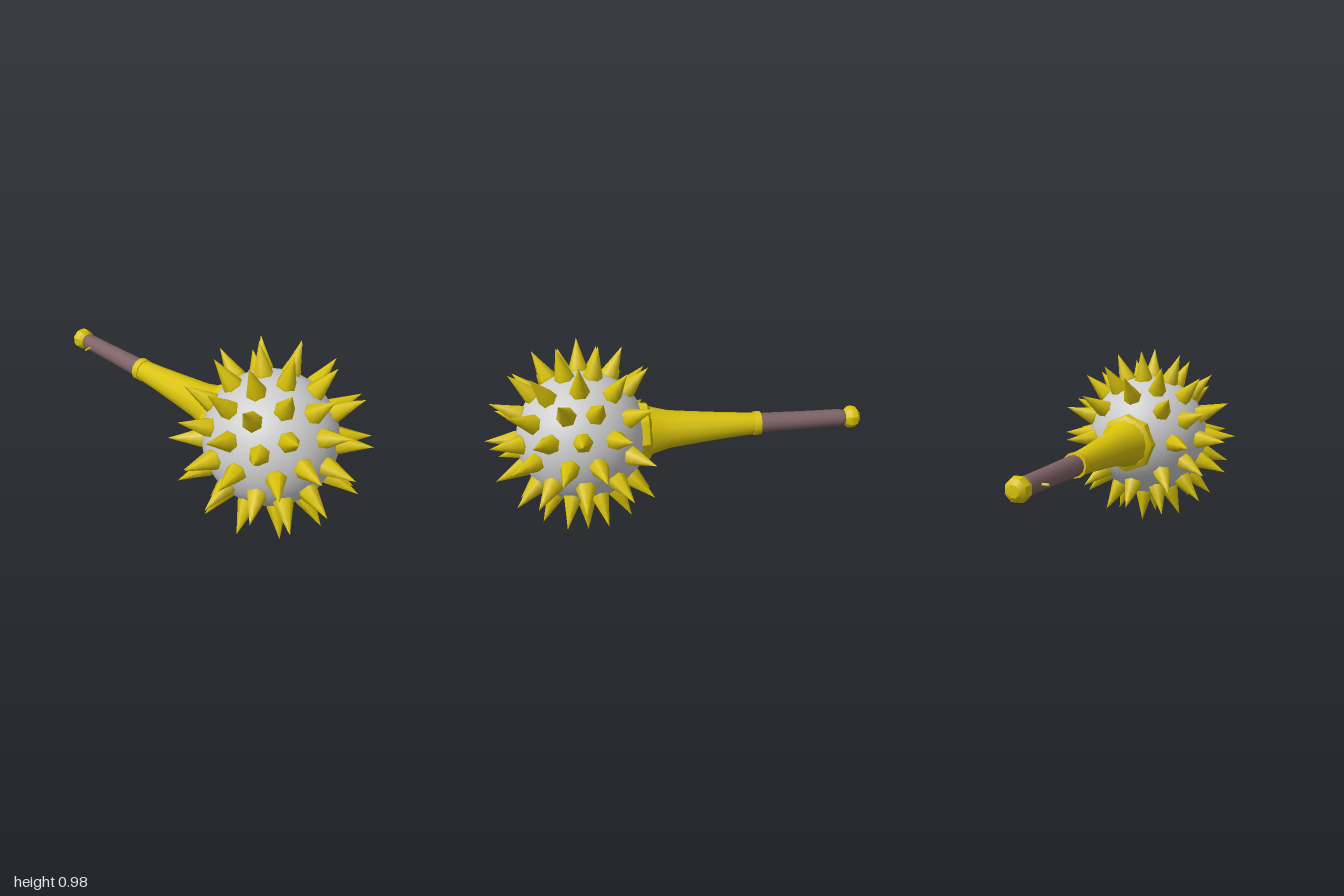
import * as THREE from 'three';
import { toCreasedNormals } from 'three/addons/utils/BufferGeometryUtils.js';

const CENTRE = new THREE.Vector3(0, 0.497, 0.495);
const DEG = Math.PI / 180;

const grey = new THREE.MeshStandardMaterial({ color: 0xcccccc });
const gold = new THREE.MeshStandardMaterial({ color: 0xd9c20a });
const leather = new THREE.MeshStandardMaterial({ color: 0x7d6264 });

// Turned part from [radius, height] pairs
function turned(points, sides, crease) {
  const geometry = new THREE.LatheGeometry(points.map(([r, h]) => new THREE.Vector2(r, h)), sides);
  return crease ? toCreasedNormals(geometry, crease) : geometry;
}

function addMesh(parent, name, geometry, material) {
  const mesh = new THREE.Mesh(geometry, material);
  mesh.name = name;
  parent.add(mesh);
  return mesh;
}

export function createModel() {
  const model = new THREE.Group();
  model.name = 'spikedMace';

  // Round head
  addMesh(model, 'head', new THREE.SphereGeometry(0.337, 40, 28), grey).position.copy(CENTRE);

  // Six-sided spikes with a flared foot, pointing out of the head's centre
  const spikes = new THREE.Group();
  spikes.name = 'spikes';
  spikes.position.copy(CENTRE);
  model.add(spikes);
  const spikeGeometry = turned([[0, 0.3], [0.053, 0.3], [0.049, 0.345], [0.033, 0.395], [0.016, 0.45], [0, 0.502]], 6);
  const up = new THREE.Vector3(0, 1, 0);

  // Rings round the handle axis: angle from the front, count, first angle
  const rings = [
    [0, 1, 90], [25, 5, 90], [46, 8, 0], [62.5, 8, 22.5], [78, 8, 0],
    [90, 8, 22.5], [102, 8, 0], [117.5, 8, 22.5], [134, 8, 0],
  ];
  for (const [polar, count, start] of rings) {
    for (let i = 0; i < count; i++) {
      const turn = (start - 0.8 + (i * 360) / count) * DEG;
      const s = Math.sin(polar * DEG);
      const direction = new THREE.Vector3(s * Math.cos(turn), s * Math.sin(turn), Math.cos(polar * DEG));
      const spike = addMesh(spikes, 'spike', spikeGeometry, gold);
      spike.quaternion.setFromUnitVectors(up, direction);
    }
  }

  // Handle group: its local y runs backwards along -z
  const handle = new THREE.Group();
  handle.name = 'handle';
  handle.position.set(0, CENTRE.y, 0);
  handle.rotation.x = -Math.PI / 2;
  model.add(handle);

  // Faceted collar against the head
  addMesh(handle, 'collar', turned(
    [[0.155, -0.24], [0.16, -0.2], [0.155, -0.155], [0.13, -0.14], [0, -0.14]], 8, 0.5), gold);

  // Flared shaft
  addMesh(handle, 'shaft', turned(
    [[0.13, -0.15], [0.115, -0.1], [0.1, -0.04], [0.092, 0.03], [0.078, 0.17], [0.066, 0.3], [0.057, 0.43]], 12), gold);

  // Ring between shaft and grip
  addMesh(handle, 'gripRing', turned(
    [[0.045, 0.412], [0.063, 0.412], [0.064, 0.45], [0.045, 0.452]], 12, 0.6), gold);

  // Grip
  addMesh(handle, 'grip', turned(
    [[0.053, 0.44], [0.051, 0.55], [0.047, 0.75], [0.046, 0.89], [0.038, 0.92]], 12), leather);

  // Pommel knob
  const pommel = addMesh(handle, 'pommel', turned(
    [[0, 0.908], [0.034, 0.91], [0.058, 0.935], [0.061, 0.955], [0.054, 0.98], [0.03, 0.998], [0, 1]], 8, 0.6), gold);
  pommel.rotation.y = Math.PI / 8;

  // Small pin on the side of the grip
  const pin = addMesh(handle, 'pin', new THREE.CylinderGeometry(0.007, 0.007, 0.04, 6), gold);
  pin.rotation.z = Math.PI / 2;
  pin.position.set(-0.06, 0.835, 0);

  return model;
}
